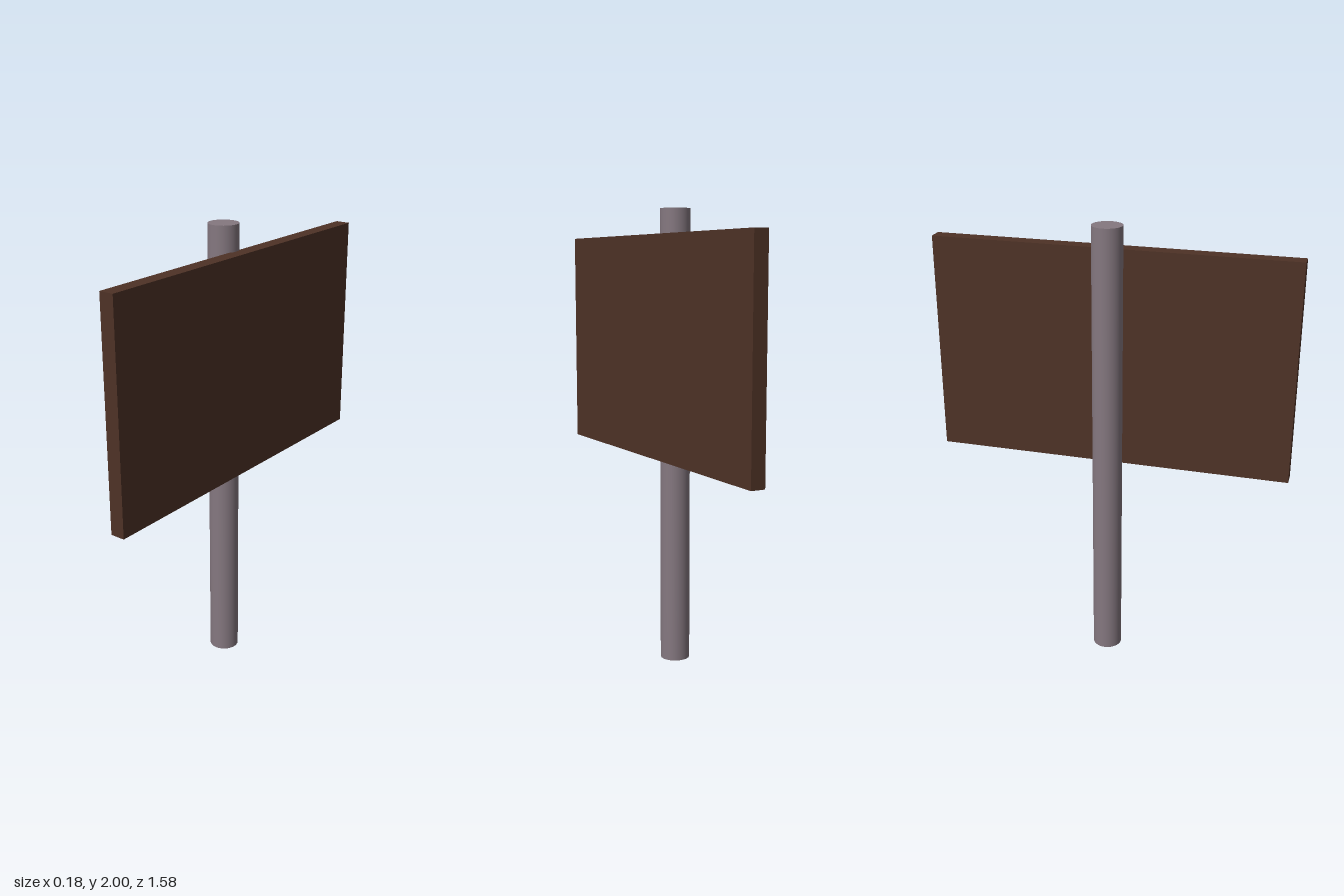
import * as THREE from 'three';

export function createModel() {
  const group = new THREE.Group();

  const add = (name, geometry, color, x, y, z) => {
    const mesh = new THREE.Mesh(geometry, new THREE.MeshStandardMaterial({ color }));
    mesh.name = name;
    mesh.position.set(x, y, z);
    group.add(mesh);
  };

  // Round upright post, full height
  add('post', new THREE.CylinderGeometry(0.065, 0.065, 2, 48), 0x857880, -0.027, 1, 0);

  // Flat sign board, its back slightly sunk into the post
  add('board', new THREE.BoxGeometry(0.064, 0.965, 1.576), 0x4e3226, 0.06, 1.408, 0);

  return group;
}
